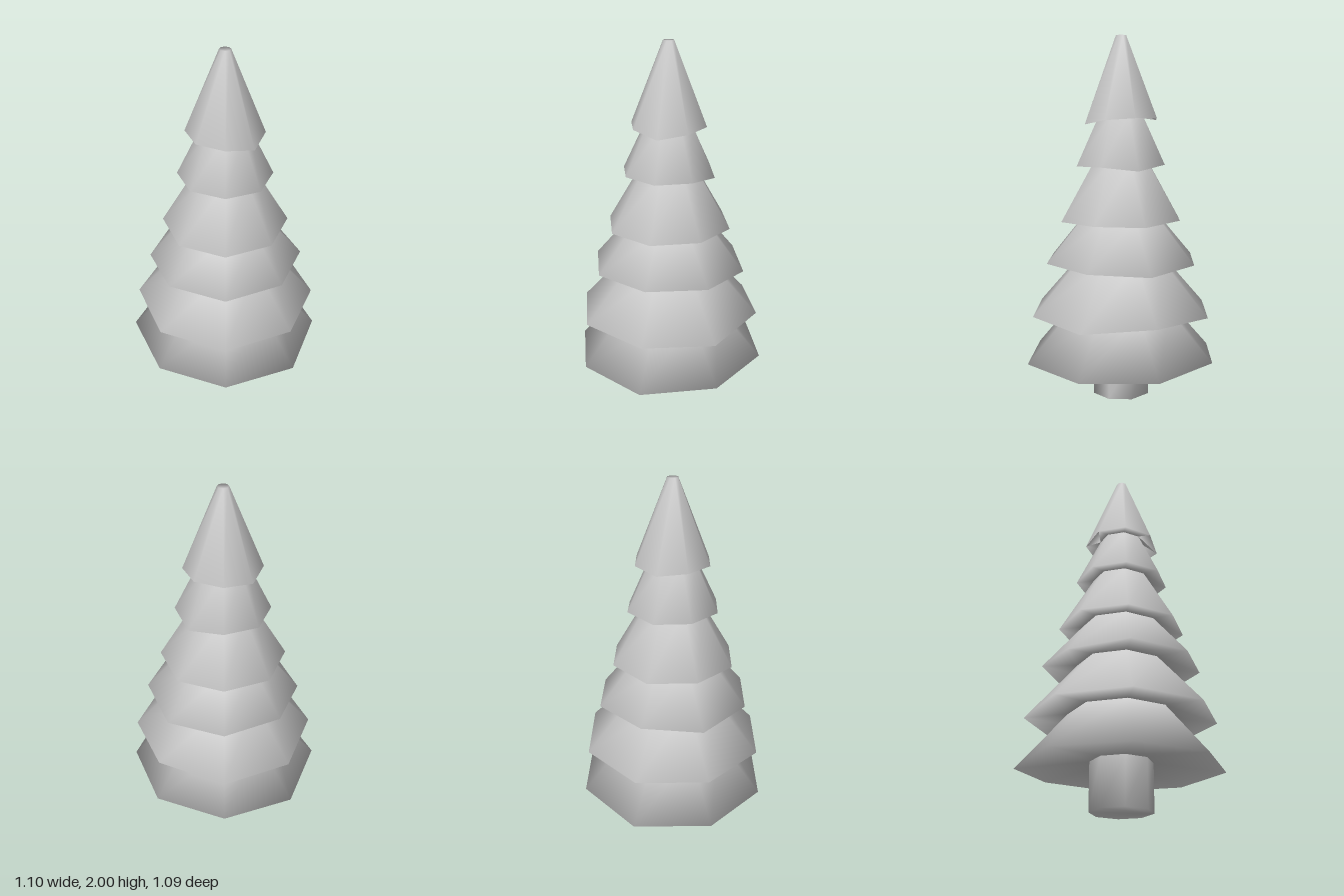
import * as THREE from 'three';

const SIDES = 8;

// Joins octagonal rings [radius, height or 8 heights] into one smooth skin
function loft(rings, closeStart, closeEnd) {
  const pos = [], index = [];
  const at = (h, k) => (Array.isArray(h) ? h[k] : h);
  for (const [r, h] of rings) {
    for (let k = 0; k < SIDES; k++) {
      const a = (k / SIDES) * Math.PI * 2;
      pos.push(at(r, k) * Math.cos(a), at(h, k), at(r, k) * Math.sin(a));
    }
  }
  for (let i = 0; i < rings.length - 1; i++) {
    for (let k = 0; k < SIDES; k++) {
      const a = i * SIDES + k, a2 = i * SIDES + (k + 1) % SIDES;
      index.push(a, a + SIDES, a2, a + SIDES, a2 + SIDES, a2);
    }
  }
  const last = (rings.length - 1) * SIDES;
  for (let k = 1; k < SIDES - 1; k++) {
    if (closeStart) index.push(0, k, k + 1);
    if (closeEnd) index.push(last, last + k + 1, last + k);
  }
  const g = new THREE.BufferGeometry();
  g.setAttribute('position', new THREE.Float32BufferAttribute(pos, 3));
  g.setIndex(index);
  g.computeVertexNormals();
  return g;
}

// Rim radii and heights run +x, +x+z, +z, -x+z, -x, -x-z, -z, +x-z
const TIERS = [
  { rim: [0.55, 0.535, 0.54, 0.555, 0.55, 0.545, 0.545, 0.54],
    y: [0.22, 0.22, 0.215, 0.22, 0.21, 0.235, 0.23, 0.225], inner: [0.15, 0.26], top: [0.285, 0.51] },
  { rim: 0.515, y: [0.485, 0.485, 0.485, 0.485, 0.48, 0.485, 0.505, 0.475], inner: [0.285, 0.51], top: [0.24, 0.79] },
  { rim: 0.433, y: [0.775, 0.77, 0.77, 0.75, 0.775, 0.77, 0.755, 0.77], inner: [0.24, 0.79], top: [0.22, 1.02] },
  { rim: 0.348, y: [1.0, 1.0, 1.0, 1.005, 1.0, 1.01, 1.0, 1.005], inner: [0.22, 1.02], top: [0.16, 1.32] },
  { rim: 0.258, y: [1.3, 1.305, 1.305, 1.305, 1.3, 1.31, 1.285, 1.305], inner: [0.16, 1.32], top: [0.125, 1.58] },
  { rim: 0.21, y: [1.525, 1.555, 1.56, 1.56, 1.545, 1.56, 1.56, 1.55], inner: [0.125, 1.58], top: [0.03, 2] },
];

export function createModel() {
  const tree = new THREE.Group();
  tree.name = 'firTree';
  const material = new THREE.MeshStandardMaterial({ color: 0xcccccc, side: THREE.DoubleSide });
  const add = (name, geometry) => {
    const mesh = new THREE.Mesh(geometry, material);
    mesh.name = name;
    tree.add(mesh);
  };

  // Trunk
  add('trunk', loft([[0.167, 0], [0.167, 0.27]], true, false));

  // Overlapping skirts of branches, each with a shallow hollow underside
  TIERS.forEach(({ rim, y, inner, top }, i) => {
    const isTip = i === TIERS.length - 1;
    add(isTip ? 'treeTip' : `branchTier${i + 1}`, loft([inner, [rim, y], top], false, isTip));
  });
  return tree;
}
